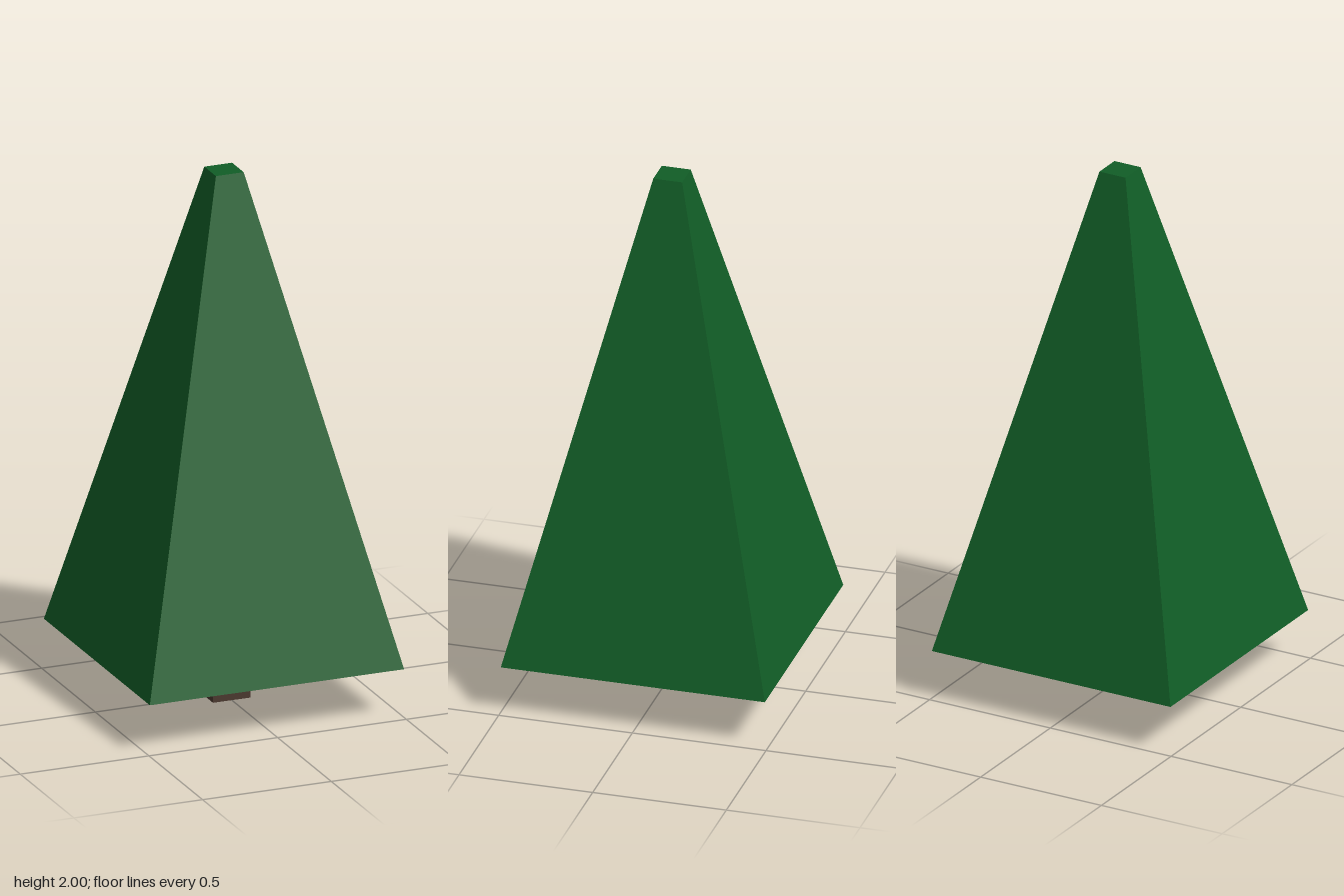
import * as THREE from 'three';

// Four-sided prism or tapered block, given half-widths and a height range
function squareBlock(name, halfTop, halfBottom, y0, y1, open, material) {
  const geometry = new THREE.CylinderGeometry(
    halfTop * Math.SQRT2, halfBottom * Math.SQRT2, y1 - y0, 4, 1, open, Math.PI / 4
  ).toNonIndexed();
  geometry.computeVertexNormals();
  const mesh = new THREE.Mesh(geometry, material);
  mesh.name = name;
  mesh.position.y = (y0 + y1) / 2;
  return mesh;
}

export function createModel() {
  const foliageGreen = new THREE.MeshStandardMaterial({ color: 0x115e27, flatShading: true });
  foliageGreen.name = 'foliage green';
  const barkBrown = new THREE.MeshStandardMaterial({
    color: 0x4a372e, flatShading: true, side: THREE.DoubleSide,
  });
  barkBrown.name = 'bark brown';

  const tree = new THREE.Group();
  tree.name = 'tree';

  // Tapered foliage with a small flat tip
  tree.add(squareBlock('foliage', 0.054, 0.494, 0.19, 2, false, foliageGreen));
  // Hollow trunk, open underneath
  tree.add(squareBlock('trunk', 0.073, 0.073, 0, 0.19, true, barkBrown));

  return tree;
}
